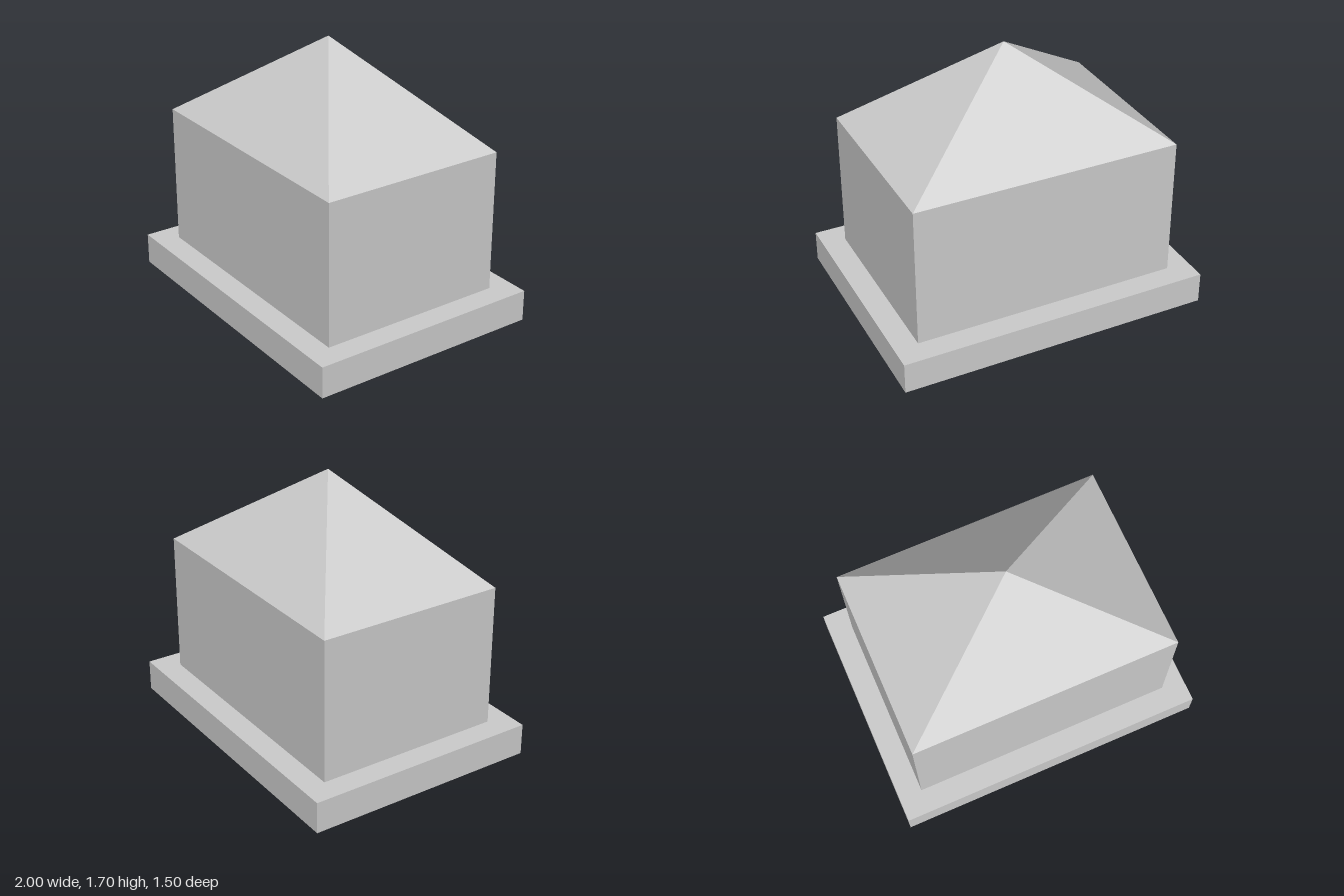
import * as THREE from 'three';

export function createModel() {
  const model = new THREE.Group();
  model.name = 'house';
  const material = new THREE.MeshStandardMaterial({ color: 0xcccccc, flatShading: true });

  // Adds a named part whose centre sits at height y
  const add = (name, geometry, y) => {
    const mesh = new THREE.Mesh(geometry, material);
    mesh.name = name;
    mesh.position.y = y;
    model.add(mesh);
  };

  // Wide plinth and the block of walls on it
  add('base', new THREE.BoxGeometry(2, 0.2, 1.5), 0.1);
  add('walls', new THREE.BoxGeometry(1.7, 0.9, 1.2), 0.65);

  // Pyramid roof, flush with the walls: a four-sided cone stretched to the wall plan
  const pyramid = new THREE.ConeGeometry(Math.SQRT1_2, 0.6, 4, 1, true)
    .rotateY(Math.PI / 4)
    .scale(1.7, 1, 1.2)
    .toNonIndexed();
  pyramid.computeVertexNormals();
  add('roof', pyramid, 1.4);

  return model;
}
